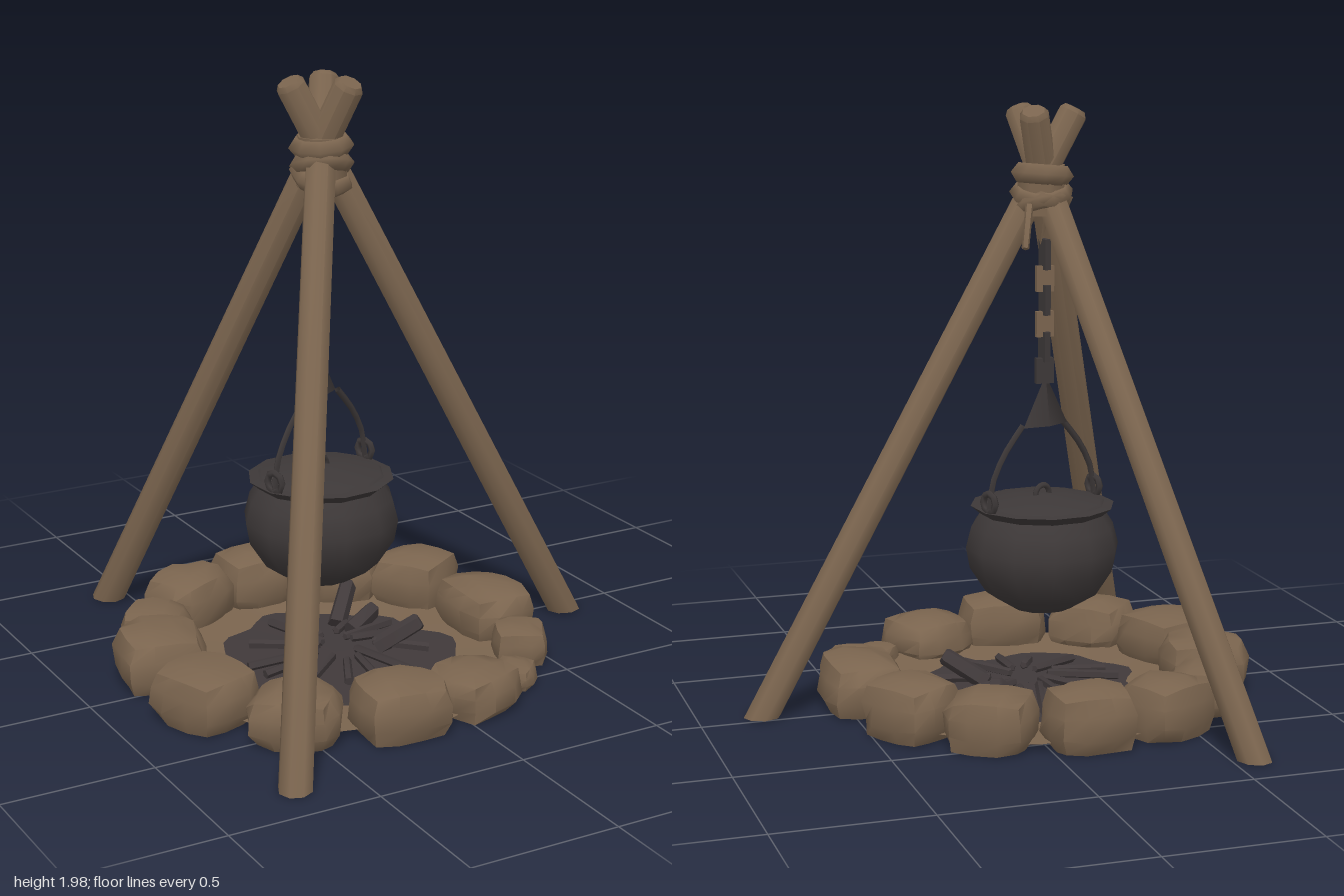
import * as THREE from 'three';
import { mergeVertices, toCreasedNormals } from 'three/addons/utils/BufferGeometryUtils.js';

const V = (x, y, z) => new THREE.Vector3(x, y, z);
const UP = V(0, 1, 0);

export function createModel() {
  const mat = (name, color, side = THREE.FrontSide) => {
    const m = new THREE.MeshStandardMaterial({ color, side });
    m.name = name;
    return m;
  };
  const brown = mat('brown wood and stone', 0x7a644e, THREE.DoubleSide);
  const iron = mat('dark iron', 0x3d3838, THREE.DoubleSide);
  const ash = mat('ash and charcoal', 0x40393a, THREE.DoubleSide);

  const model = new THREE.Group();
  model.name = 'campfire';
  const add = (name, geo, material, parent = model, x = 0, y = 0, z = 0) => {
    const m = new THREE.Mesh(geo, material);
    m.name = name;
    m.position.set(x, y, z);
    parent.add(m);
    return m;
  };
  let seed = 7;
  const rand = () => (seed = (seed * 16807) % 2147483647) / 2147483647;

  // Round stick between two points, with a chamfered tip
  const stick = (a, b, r, sides, cutY = null) => {
    const dir = b.clone().sub(a), len = dir.length();
    dir.normalize();
    const profile = [[0, 0], [r, 0], [r * 0.92, len - r * 0.3], [r * 0.7, len], [0, len]];
    const g = new THREE.LatheGeometry(profile.map(p => new THREE.Vector2(...p)), sides);
    const low = Array.from(g.attributes.position.array).filter((_, i) => i % 3 === 1).map(y => y < 0.001);
    g.applyQuaternion(new THREE.Quaternion().setFromUnitVectors(UP, dir));
    g.translate(a.x, a.y, a.z);
    // Foot cut level with the ground
    if (cutY !== null) {
      const p = g.attributes.position, v = V(0, 0, 0);
      low.forEach((isLow, i) => {
        if (!isLow) return;
        v.fromBufferAttribute(p, i);
        v.addScaledVector(dir, (cutY - v.y) / dir.y);
        p.setXYZ(i, v.x, v.y, v.z);
      });
    }
    return toCreasedNormals(g, 0.85);
  };

  // Tripod poles
  [
    [V(0.79, 0.01, 0.045), V(-0.28, 1.97, 0.03)],
    [V(-0.70, 0.01, 0.84), V(-0.11, 1.97, -0.05)],
    [V(-0.57, 0.01, -0.84), V(-0.12, 1.97, 0.14)],
  ].forEach(([a, b]) => add('tripodPole', stick(a, b, 0.054, 8, 0.01), brown));

  // Rope lashing round the crossing
  const lashing = new THREE.Group();
  lashing.name = 'lashing';
  lashing.position.set(-0.165, 1.71, 0.03);
  model.add(lashing);
  [[0.05, 0.05, 0.1], [-0.01, -0.15, -0.2], [-0.05, 0.2, 0.2]].forEach(([y, rx, rz], i) => {
    const g = new THREE.TorusGeometry(0.072, 0.034, 5, 9);
    g.rotateX(Math.PI / 2);
    add('ropeCoil', g, brown, lashing, 0, y, 0).rotation.set(rx, i, rz);
  });
  add('ropeCore', new THREE.CylinderGeometry(0.08, 0.085, 0.16, 8), brown, lashing);
  add('ropeEnd', stick(V(-0.09, 1.67, -0.07), V(-0.05, 1.54, -0.15), 0.014, 5), brown);
  const knot = add('hangingKnot', new THREE.ConeGeometry(0.045, 0.14, 5), brown, model, -0.155, 1.6, 0.01);
  knot.rotation.x = Math.PI;

  // Hanging chain: flat links alternating with narrow ones
  const cx = -0.17, cz = 0.01;
  [[1.42, brown], [1.27, brown], [1.115, iron]].forEach(([y, m]) => {
    add('chainLink', new THREE.BoxGeometry(0.06, 0.085, 0.02), m, model, cx, y, cz);
    const cross = add('crossLink', new THREE.BoxGeometry(0.02, 0.1, 0.05), iron, model, cx, y + 0.08, cz);
    cross.rotation.y = 0.15;
  });

  // Cauldron
  const pot = new THREE.Group();
  pot.name = 'cauldron';
  pot.position.set(-0.17, 0, 0.025);
  pot.rotation.y = 0.36;
  model.add(pot);
  const potProfile = [[0, 0.3], [0.1, 0.31], [0.19, 0.365], [0.245, 0.45], [0.258, 0.52], [0.24, 0.59],
    [0.21, 0.635], [0.242, 0.662], [0.2, 0.668]].map(p => new THREE.Vector2(...p));
  add('potBody', toCreasedNormals(new THREE.LatheGeometry(potProfile, 12), 0.9), iron, pot);
  const lidProfile = [[0.215, 0.662], [0.2, 0.675], [0.09, 0.692], [0, 0.697]].map(p => new THREE.Vector2(...p));
  add('lid', new THREE.LatheGeometry(lidProfile, 12), iron, pot);
  add('lidHandle', new THREE.TorusGeometry(0.03, 0.01, 5, 8, Math.PI), iron, pot, 0, 0.695, 0);
  for (const s of [-1, 1]) {
    const ear = add('potEar', new THREE.TorusGeometry(0.032, 0.012, 5, 8), iron, pot, s * 0.225, 0.695, 0);
    ear.rotation.y = Math.PI / 2;
    const path = new THREE.CatmullRomCurve3([V(s * 0.225, 0.67, 0), V(s * 0.21, 0.76, 0),
      V(s * 0.16, 0.85, 0), V(s * 0.085, 0.935, 0)]);
    add('bailArm', new THREE.TubeGeometry(path, 6, 0.012, 4), iron, pot);
  }
  const hanger = add('hanger', new THREE.ConeGeometry(0.093, 0.17, 4), iron, pot, 0, 1.015, -0.015);
  hanger.scale.z = 0.25;

  // Sheet made of concentric rings of points
  const ringSheet = rings => {
    const n = 48, pos = [], idx = [];
    rings.forEach(([radius, y]) => {
      for (let i = 0; i < n; i++) {
        const t = i / n * Math.PI * 2, r = radius(t);
        pos.push(Math.cos(t) * r, y, Math.sin(t) * r);
      }
    });
    for (let k = 0; k < rings.length - 1; k++) for (let i = 0; i < n; i++) {
      const a = k * n + i, b = k * n + (i + 1) % n;
      idx.push(a, b, a + n, b, b + n, a + n);
    }
    const g = new THREE.BufferGeometry();
    g.setAttribute('position', new THREE.Float32BufferAttribute(pos, 3));
    g.setIndex(idx.reverse().map(Number).reverse());
    // Corner order that faces upward
    for (let i = 0; i < idx.length; i += 3) [idx[i + 1], idx[i + 2]] = [idx[i + 2], idx[i + 1]];
    g.setIndex(idx);
    g.computeVertexNormals();
    return g;
  };
  const ashEdge = t => 0.385 + 0.025 * Math.sin(3 * t + 0.6) + 0.02 * Math.sin(7 * t) + 0.012 * Math.sin(11 * t + 1);
  add('ashPatch', ringSheet([[() => 0.001, 0.035], [t => ashEdge(t) * 0.5, 0.03], [ashEdge, 0.022]]), ash, model, -0.13, 0, 0.05);
  add('ground', ringSheet([[ashEdge, 0.022], [() => 0.52, 0.03], [t => 0.63 + 0.02 * Math.sin(9 * t), 0.035]]),
    brown, model, -0.13, 0, 0.05);

  // Ring of stones: x, z, half width, half depth, height
  const stone = (w, d, h) => {
    let g = new THREE.BoxGeometry(2, 2, 2, 3, 3, 3);
    g.deleteAttribute('uv');
    g.deleteAttribute('normal');
    g = mergeVertices(g);
    const p = g.attributes.position, v = V(0, 0, 0);
    for (let i = 0; i < p.count; i++) {
      v.fromBufferAttribute(p, i);
      const ball = v.clone().normalize().multiplyScalar(1.12);
      v.lerp(ball, 0.72).multiplyScalar(0.95 + rand() * 0.12);
      p.setXYZ(i, v.x * w, Math.max(0.008, h * (0.46 + v.y * 0.52)), v.z * d);
    }
    return toCreasedNormals(g, 0.8);
  };
  [
    [-0.71, -0.09, 0.15, 0.14, 0.2], [-0.71, 0.25, 0.15, 0.14, 0.19], [-0.53, 0.52, 0.14, 0.13, 0.18],
    [-0.22, 0.63, 0.15, 0.13, 0.19], [0.07, 0.585, 0.14, 0.13, 0.15], [0.29, 0.5, 0.08, 0.07, 0.08],
    [0.42, 0.33, 0.1, 0.09, 0.13], [0.45, 0.07, 0.17, 0.13, 0.19], [0.37, -0.27, 0.13, 0.13, 0.2],
    [0.16, -0.455, 0.14, 0.13, 0.19], [-0.13, -0.55, 0.14, 0.12, 0.21], [-0.41, -0.5, 0.14, 0.12, 0.2],
    [-0.62, -0.32, 0.12, 0.11, 0.17],
  ].forEach(([x, z, w, d, h]) => {
    add('stone', stone(w, d, h), brown, model, x, 0, z).rotation.y = Math.atan2(x + 0.13, z - 0.05);
  });

  // Charred sticks lying in the ash
  for (let i = 0; i < 13; i++) {
    const t = i / 13 * Math.PI * 2 + rand() * 0.3, near = 0.05 + rand() * 0.08, far = 0.24 + rand() * 0.1;
    const at = (r, y) => V(-0.13 + Math.cos(t + r) * r, y, 0.05 + Math.sin(t + r) * r);
    add('charredStick', stick(at(far, 0.04), at(near, 0.06), 0.016, 5), ash);
  }
  // Larger burnt logs leaning outward
  [[0.14, 0.13, 0.15], [0.085, 0.14, -0.25], [0.12, 0.08, -0.13]].forEach(([x, y, z]) =>
    add('charredLog', stick(V(x * 0.4 - 0.05, 0.04, z * 0.6), V(x, y, z), 0.034, 5), ash));

  return model;
}
